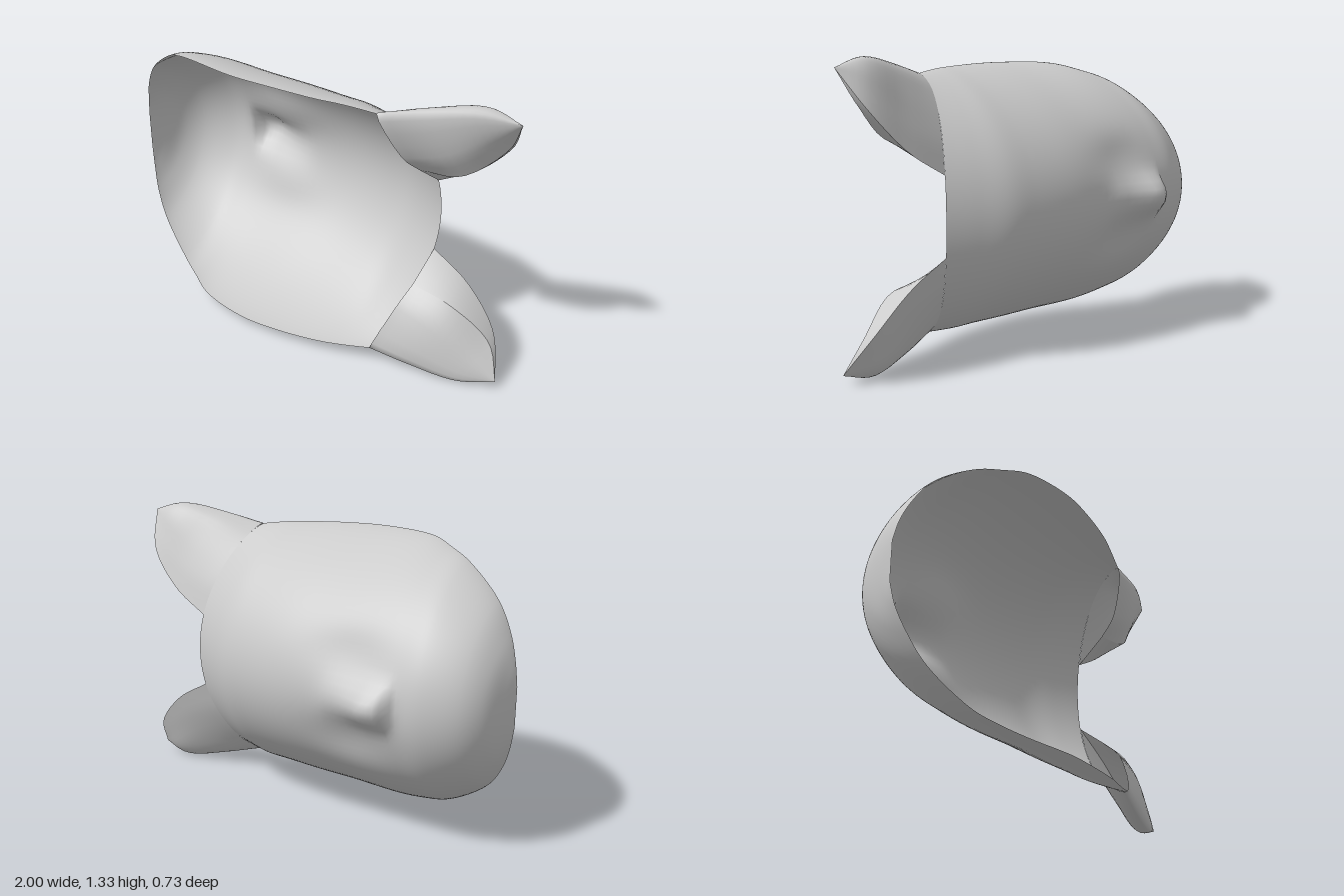
import * as THREE from 'three';

const MID = 0.665; // height of the symmetry plane

const curve = pts => new THREE.CatmullRomCurve3(pts.map(p => new THREE.Vector3(...p)));

// Smooth open surface from a rule f(u, v) -> Vector3
function sheet(f, nu, nv) {
  const pos = [], idx = [];
  for (let i = 0; i <= nu; i++) {
    for (let j = 0; j <= nv; j++) {
      const p = f(i / nu, j / nv);
      pos.push(p.x, p.y, p.z);
      if (i < nu && j < nv) {
        const a = i * (nv + 1) + j, b = a + nv + 1;
        idx.push(a, a + 1, b, b, a + 1, b + 1);
      }
    }
  }
  const g = new THREE.BufferGeometry();
  g.setAttribute('position', new THREE.Float32BufferAttribute(pos, 3));
  g.setIndex(idx);
  g.computeVertexNormals();
  return g;
}

// Face shell: arched sections between a centre profile and the side rim
function faceGeometry() {
  const centre = curve([
    [-1, 0, 0.05], [-0.98, 0, -0.03], [-0.94, 0, -0.14], [-0.87, 0, -0.215], [-0.73, 0, -0.275],
    [-0.6, 0, -0.285], [-0.45, 0, -0.29], [-0.2, 0, -0.292], [0, 0, -0.285], [0.2, 0, -0.255],
    [0.33, 0, -0.225], [0.46, 0, -0.16], [0.59, 0, -0.09],
  ]);
  const rim = curve([
    [-1, 0.09, 0.05], [-0.98, 0.19, 0.065], [-0.94, 0.295, 0.095], [-0.86, 0.415, 0.135], [-0.68, 0.545, 0.21],
    [-0.57, 0.585, 0.26], [-0.45, 0.615, 0.315], [-0.2, 0.623, 0.36], [0, 0.62, 0.35], [0.2, 0.61, 0.32],
    [0.3, 0.604, 0.293], [0.38, 0.595, 0.27], [0.45, 0.585, 0.25],
  ]);
  const nose = curve([
    [-0.64, 0, 0], [-0.6, 0, 0.01], [-0.57, 0, 0.06], [-0.5, 0, 0.077], [-0.4, 0, 0.045], [-0.22, 0, 0],
  ]).getPoints(60);
  const noseHeight = x => {
    const k = nose.findIndex(p => p.x >= x);
    return k < 1 ? 0 : Math.max(0, nose[k].z);
  };
  return sheet((u, v) => {
    const a = (v - 0.5) * Math.PI, s = Math.sin(a), c = Math.max(0, Math.cos(a));
    const m = centre.getPoint(u), r = rim.getPoint(u);
    const x = m.x + (r.x - m.x) * s * s, y = r.y * s;
    let z = r.z + (m.z - r.z) * c ** 1.25;
    // Nose bump, and shallow hollows either side of it
    z -= noseHeight(x) * Math.exp(-(Math.abs(y / 0.085) ** 2.6));
    z += 0.025 * Math.exp(-(((x + 0.36) / 0.18) ** 2) - ((Math.abs(y) - 0.19) / 0.1) ** 2);
    return new THREE.Vector3(x, y + MID, z);
  }, 72, 56);
}

// Ear rails run from the base to the shared tip, in order around the ear
const TIP = [1, 0.625, 0.09];
const INNER = [[0.577, 0.175, -0.07], [0.76, 0.285, -0.06], [0.92, 0.455, -0.02], TIP];
const FOLD = [[0.56, 0.29, 0.08], [0.76, 0.325, 0.085], [0.93, 0.475, 0.04], TIP];
const SHELL = [
  INNER,
  [[0.548, 0.322, -0.021], [0.73, 0.4, -0.02], [0.9, 0.535, 0.01], TIP],
  [[0.503, 0.46, 0.064], [0.69, 0.53, 0.045], [0.87, 0.62, 0.045], TIP],
  [[0.469, 0.544, 0.152], [0.65, 0.615, 0.12], [0.85, 0.663, 0.09], TIP],
  [[0.45, 0.585, 0.25], [0.63, 0.625, 0.205], [0.84, 0.655, 0.15], TIP],
  [[0.53, 0.375, 0.17], [0.72, 0.44, 0.16], [0.88, 0.55, 0.125], TIP],
  FOLD,
];

// One wall of an ear, spanning the given rails
function earWall(rails, side, nv) {
  const curves = rails.map(curve);
  return sheet((u, v) => {
    const t = u * 0.999;
    const p = new THREE.CatmullRomCurve3(curves.map(r => r.getPoint(t))).getPoint(v);
    return new THREE.Vector3(p.x, MID + side * p.y, p.z);
  }, 14, nv);
}

export function createModel() {
  const group = new THREE.Group();
  const grey = new THREE.MeshStandardMaterial({ color: 0xcccccc, side: THREE.DoubleSide });
  grey.name = 'pale grey';
  const add = (parent, name, geometry) => {
    const mesh = new THREE.Mesh(geometry, grey);
    mesh.name = name;
    parent.add(mesh);
  };

  add(group, 'faceShell', faceGeometry());

  // Mirrored pair of ears
  for (const side of [1, -1]) {
    const ear = new THREE.Group();
    ear.name = side > 0 ? 'upperEar' : 'lowerEar';
    add(ear, 'earShell', earWall(SHELL, side, 24));
    add(ear, 'earInnerSide', earWall([FOLD, INNER], side, 4));
    group.add(ear);
  }
  return group;
}
